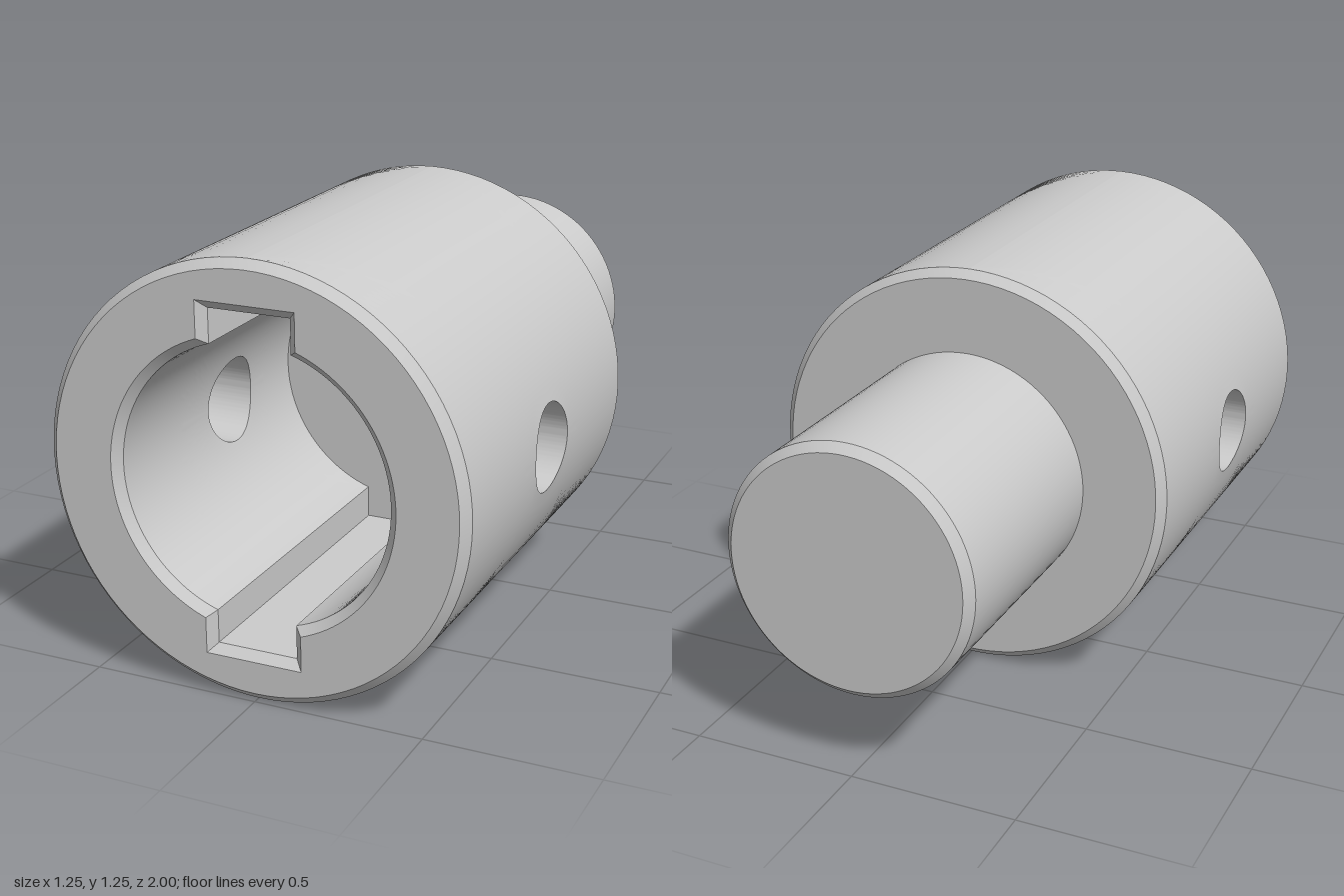
import * as THREE from 'three';
import { toCreasedNormals } from 'three/addons/utils/BufferGeometryUtils.js';

const R = 0.625, BORE = 0.4, CH = 0.025;        // outer radius, bore radius, chamfer
const FRONT = 1, BACK = -0.25, FLOOR = 0;       // z of socket mouth, shoulder, bore floor
const SLOT_W = 0.12, SLOT_H = 0.48;             // keyway half width and reach
const PIN_R = 0.13, PIN_Z = 0.38;               // cross hole
const N = 48, AROUND = 4 * N;

// Surface from f(i, j); faces point along df/di x df/dj
function grid(nu, nv, f) {
  const pos = [];
  for (let i = 0; i < nu; i++) for (let j = 0; j < nv; j++) {
    const a = f(i, j), b = f(i + 1, j), c = f(i + 1, j + 1), d = f(i, j + 1);
    pos.push(...a, ...b, ...c, ...a, ...c, ...d);
  }
  const g = new THREE.BufferGeometry();
  g.setAttribute('position', new THREE.Float32BufferAttribute(pos, 3));
  return toCreasedNormals(g, 0.5);
}

const holeAngle = k => -Math.PI / 4 + (k / AROUND) * Math.PI * 2;

// Cylinder side facing +x between z0 and z1, with the cross hole left open
function piercedWall(r, halfAngle, z0, z1, dir) {
  const rings = 20;
  return grid(AROUND, rings, (i, j) => {
    const k = (dir * i + AROUND) % AROUND;
    const t = (k % N) / N * 2 - 1;
    const [sa, sz] = [[1, t], [-t, 1], [-1, -t], [t, -1]][Math.floor(k / N)];
    const phi = holeAngle(k), m = j / rings;
    const ang = THREE.MathUtils.lerp(Math.asin(PIN_R * Math.cos(phi) / r), sa * halfAngle, m);
    const z = THREE.MathUtils.lerp(PIN_Z + PIN_R * Math.sin(phi), (z0 + z1) / 2 + sz * (z1 - z0) / 2, m);
    return [r * Math.cos(ang), r * Math.sin(ang), z];
  });
}

// Bore outline with two opposite keyways, counter-clockwise
function boreOutline(r, w, h) {
  const a = Math.acos(w / r), half = [];
  for (let i = 0; i <= N; i++) {
    const t = -a + 2 * a * i / N;
    half.push([r * Math.cos(t), r * Math.sin(t)]);
  }
  half.push([w, h], [-w, h]);
  return [...half, ...half.map(([x, y]) => [-x, -y])];
}

// Inward-facing band from a front outline to a back outline
function band(front, zf, back, zb) {
  return grid(front.length - 1, 1, (i, j) => j ? [...back[i], zb] : [...front[i], zf]);
}

function turned(points) {
  const g = new THREE.LatheGeometry(points.map(p => new THREE.Vector2(...p)), 2 * N);
  return toCreasedNormals(g.rotateX(Math.PI / 2), 0.5);
}

export function createModel() {
  const group = new THREE.Group();
  const axis = new THREE.Group();
  axis.name = 'socketAdapter';
  axis.position.y = R;
  group.add(axis);
  const material = new THREE.MeshStandardMaterial({ color: 0xcccccc });
  const add = (name, geometry, turn = 0) => {
    const mesh = new THREE.Mesh(geometry, material);
    mesh.name = name;
    mesh.rotation.z = turn;
    axis.add(mesh);
  };
  const outline = boreOutline(BORE, SLOT_W, SLOT_H);
  const mouth = boreOutline(BORE + CH, SLOT_W + CH, SLOT_H + CH);
  const close = loop => [...loop, loop[0]];
  const toPoints = loop => loop.map(p => new THREE.Vector2(...p));

  // Shank, shoulder and rear chamfers
  add('shank', turned([[0, -1], [0.35, -1], [0.375, -0.975], [0.375, BACK], [R - CH, BACK], [R, BACK + CH]]));
  add('frontChamfer', turned([[R, FRONT - CH], [R - CH, FRONT]]));

  // Annular front face around the keyed opening
  const face = new THREE.Shape().absarc(0, 0, R - CH, 0, Math.PI * 2);
  face.holes.push(new THREE.Path(toPoints(mouth)));
  add('frontFace', new THREE.ShapeGeometry(face, N).translate(0, 0, FRONT));
  add('mouthChamfer', band(close(mouth), FRONT, close(outline), FRONT - CH));
  add('boreFloor', new THREE.ShapeGeometry(new THREE.Shape(toPoints(outline))).translate(0, 0, FLOOR));

  // Two matching halves: outer wall, bore wall, cross hole and keyway
  const outer = piercedWall(R, Math.PI / 2, BACK + CH, FRONT - CH, -1);
  const inner = piercedWall(BORE, Math.acos(SLOT_W / BORE), FLOOR, FRONT - CH, 1);
  const pinHole = grid(AROUND, 1, (k, j) => {
    const y = PIN_R * Math.cos(holeAngle(k)), r = j ? BORE : R;
    return [Math.sqrt(r * r - y * y), y, PIN_Z + PIN_R * Math.sin(holeAngle(k))];
  });
  const slot = outline.slice(N, N + 4);
  const keyway = band(slot, FRONT - CH, slot, FLOOR);
  ['left', 'right'].forEach((side, i) => {
    add(side + 'OuterWall', outer, i * Math.PI);
    add(side + 'BoreWall', inner, i * Math.PI);
    add(side + 'CrossHole', pinHole, i * Math.PI);
    add(['top', 'bottom'][i] + 'Keyway', keyway, i * Math.PI);
  });
  return group;
}
